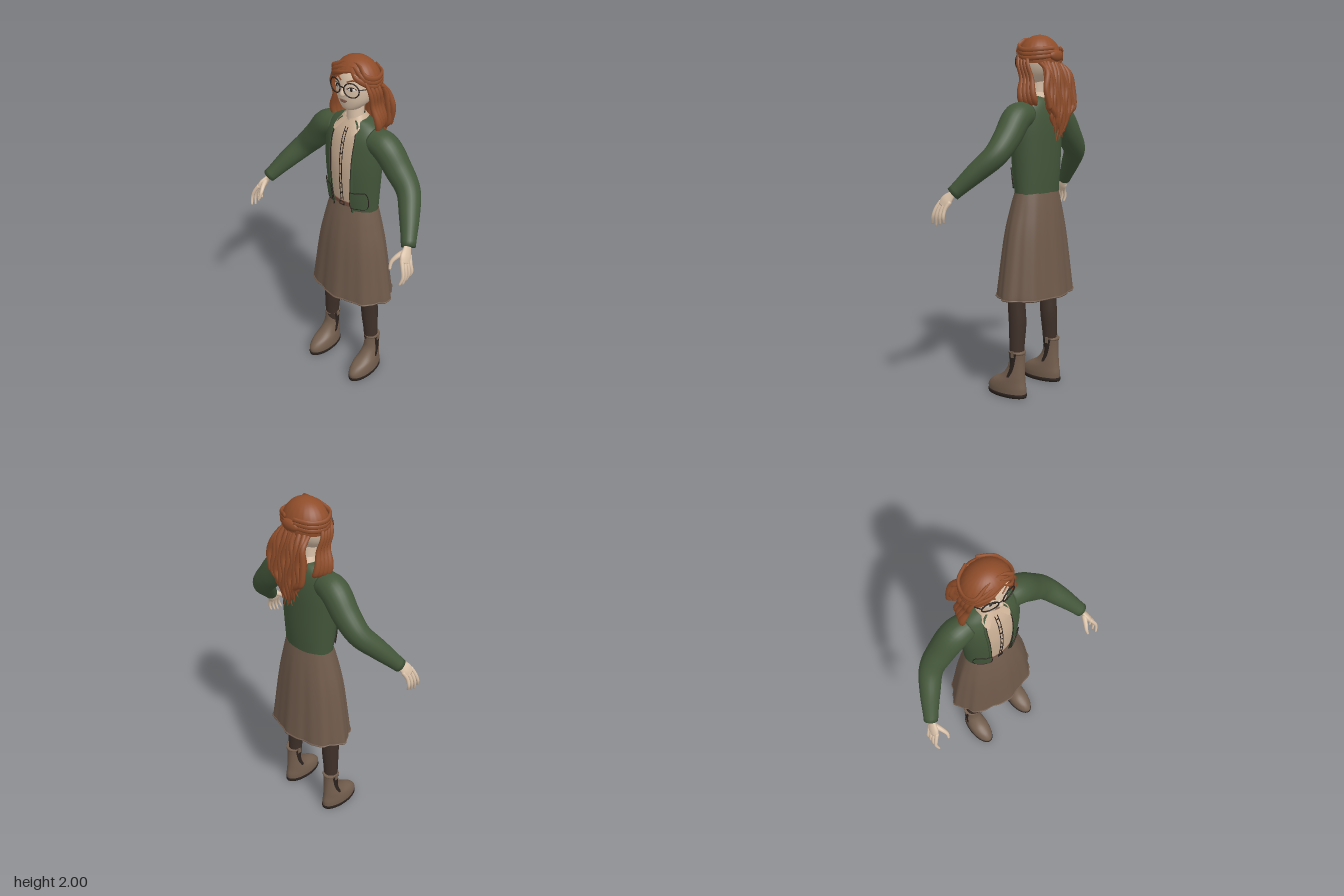
import * as THREE from 'three';

const V = (x, y, z) => new THREE.Vector3(x, y, z);
const paint = (name, color, side = THREE.FrontSide) => {
  const m = new THREE.MeshStandardMaterial({ color, side });
  m.name = name;
  return m;
};

// Smooth surface from fn(u, v); wrap joins the u ends
function grid(nu, nv, fn, wrap = true) {
  const cols = wrap ? nu : nu + 1, pos = [], idx = [];
  for (let j = 0; j <= nv; j++)
    for (let i = 0; i < cols; i++) pos.push(...fn(i / nu, j / nv).toArray());
  for (let j = 0; j < nv; j++)
    for (let i = 0; i < nu; i++) {
      const a = j * cols + i, b = j * cols + (i + 1) % cols;
      idx.push(a, b, b + cols, a, b + cols, a + cols);
    }
  const g = new THREE.BufferGeometry();
  g.setAttribute('position', new THREE.Float32BufferAttribute(pos, 3));
  g.setIndex(idx);
  g.computeVertexNormals();
  return g;
}

// Smooth interpolation of rows of numbers
function spline(rows) {
  const cs = rows[0].map((_, c) => new THREE.SplineCurve(rows.map((r, i) => new THREE.Vector2(i, r[c]))));
  return t => cs.map(c => c.getPoint(t).y);
}

// Upright body from elliptical sections [y, cx, cz, rx, rz], bottom to top
function loft(rows, { n = 40, m = 24, cap = true, from = () => 0, to = () => Math.PI * 2, wrap = true, shape } = {}) {
  const s = spline(rows), steps = cap ? m + 2 : m;
  return grid(n, steps, (u, w) => {
    const j = Math.round(w * steps), end = cap && (j === 0 || j === steps);
    const v = cap ? THREE.MathUtils.clamp((j - 1) / m, 0, 1) : w;
    const [y, cx, cz, rx, rz] = s(v), a = from(v) + u * (to(v) - from(v)), k = end ? 0 : 1;
    const p = V(cx + k * rx * Math.sin(a), y, cz + k * rz * Math.cos(a));
    if (shape) shape(p, a, v, cz);
    return p;
  }, wrap);
}

// Front z of a lofted body at (x, y)
function frontOf(rows) {
  const s = spline(rows);
  return (x, y) => {
    let lo = 0, hi = 1;
    for (let i = 0; i < 24; i++) { const t = (lo + hi) / 2; if (s(t)[0] < y) lo = t; else hi = t; }
    const [, cx, cz, rx, rz] = s(lo);
    return cz + rz * Math.sqrt(Math.max(0, 1 - ((x - cx) / rx) ** 2));
  };
}

// Tapered tube with closed ends; k flattens it across ref
function tube(pts, radii, { n = 10, m = 20, ref = V(0, 0, 1), k = 1 } = {}) {
  const c = new THREE.CatmullRomCurve3(pts.map(p => V(...p))), r = spline(radii.map(x => [x]));
  return grid(n, m + 2, (u, w) => {
    const j = Math.round(w * (m + 2)), v = THREE.MathUtils.clamp((j - 1) / m, 0, 1);
    const T = c.getTangent(v), N = ref.clone().addScaledVector(T, -ref.dot(T)).normalize();
    const B = T.clone().cross(N), R = j === 0 || j === m + 2 ? 0 : Math.max(r(v)[0], 0.0005), a = u * Math.PI * 2;
    return c.getPoint(v).addScaledVector(N, R * Math.cos(a)).addScaledVector(B, R * k * Math.sin(a));
  });
}

export function createModel() {
  const root = new THREE.Group();
  const skin = paint('skin', 0xd9c1a9), shirt = paint('shirt cream', 0xc9ae94, THREE.DoubleSide),
    green = paint('jacket green', 0x43563a, THREE.DoubleSide), brown = paint('skirt brown', 0x6f5a4b, THREE.DoubleSide),
    legging = paint('legging brown', 0x3f3029), leather = paint('boot leather', 0x735e4e),
    dark = paint('dark trim', 0x2a211d), red = paint('hair auburn', 0x8f4d2a, THREE.DoubleSide),
    belt = paint('belt and lip brown', 0x7a5444), white = paint('eye white', 0xe6e0d8);
  const add = (name, geo, mat) => {
    const o = new THREE.Mesh(geo, mat);
    o.name = name;
    root.add(o);
    return o;
  };
  const ball = (name, mat, p, s) => {
    const o = add(name, new THREE.SphereGeometry(1, 20, 14), mat);
    o.position.set(...p);
    o.scale.set(...s);
    return o;
  };
  const grow = (rows, d) => rows.map(([y, cx, cz, rx, rz]) => [y, cx, cz, rx + d, rz + d]);
  const TAU = Math.PI * 2;

  // Shirt and jacket
  const torso = [[1.14, 0, -.06, .147, .088], [1.25, 0, -.056, .155, .1], [1.4, 0, -.055, .166, .106], [1.5, 0, -.06, .17, .102],
    [1.58, 0, -.066, .166, .09], [1.63, 0, -.073, .14, .072], [1.66, 0, -.075, .095, .055], [1.675, 0, -.07, .055, .045]];
  add('shirt', loft(torso), shirt);
  const coat = grow(torso, .01), open = v => .45 + .1 * v * v;
  add('jacket', loft(coat, {
    n: 96, m: 30, cap: false, wrap: false, from: open, to: v => TAU - open(v),
    shape: (p, a, v) => { if (v === 0) p.y -= .016 * Math.abs(Math.sin(a * 9)); },
  }), green);
  const chest = frontOf(torso), coatFront = frontOf(coat), coatAt = spline(coat);
  const line = (name, pts, r, mat) => add(name, tube(pts, [r, r], { n: 6, m: 24, ref: V(.5, .3, 1) }), mat);
  for (const x of [-.008, .008])
    line('buttonPlacketSeam', [1.2, 1.3, 1.4, 1.5, 1.58, 1.63].map(y => [x, y, chest(x, y) + .001]), .0022, dark);
  for (let i = 0; i < 7; i++) {
    const y = 1.25 + i * .06;
    ball('shirtButton', dark, [0, y, chest(0, y) + .002], [.005, .005, .003]);
  }

  // Belt and buckle
  add('belt', loft([[1.165, 0, -.06, .154, .096], [1.18, 0, -.06, .155, .097], [1.197, 0, -.059, .155, .099]], { m: 4 }), belt);
  const buckle = add('buckle', new THREE.TorusGeometry(.014, .003, 6, 4, TAU), dark);
  buckle.geometry.rotateZ(Math.PI / 4).scale(1.5, 1, 1);
  buckle.position.set(0, 1.181, .041);

  // Skirt with soft folds
  add('skirt', loft([[.57, 0, -.05, .268, .172], [.62, 0, -.05, .264, .168], [.9, 0, -.051, .22, .143], [1.06, 0, -.055, .181, .12], [1.175, 0, -.06, .15, .094]], {
    n: 120, m: 30, cap: false,
    shape: (p, a, v, cz) => {
      const k = 1 + .035 * (1 - v) * Math.cos(a * 8) + .012 * (1 - v) * Math.sin(a * 19);
      p.x *= k;
      p.z = cz + (p.z - cz) * k;
    },
  }), brown);
  add('skirtHem', grid(120, 8, (u, v) => {
    const a = u * TAU, k = 1 + .035 * Math.cos(a * 8) + .012 * Math.sin(a * 19), b = v * TAU, r = .005 * Math.cos(b);
    return V((.268 + r) * k * Math.sin(a), .573 + .005 * Math.sin(b), -.05 + (.172 + r) * k * Math.cos(a));
  }), brown);

  // Neck and head
  add('neck', loft([[1.62, 0, -.07, .055, .05], [1.68, 0, -.065, .047, .045], [1.78, 0, -.07, .047, .047]], { m: 8 }), skin);
  const skull = [[1.725, 0, -.03, .018, .02], [1.738, 0, -.04, .05, .053], [1.775, 0, -.058, .086, .082], [1.82, 0, -.072, .106, .1],
    [1.87, 0, -.08, .114, .105], [1.92, 0, -.082, .108, .093], [1.965, 0, -.082, .07, .06], [1.98, 0, -.082, .02, .02]];
  add('head', loft(skull, { m: 32 }), skin);
  const face = frontOf(skull);
  add('nose', tube([[0, 1.872, .017], [0, 1.85, .027], [0, 1.824, .034], [0, 1.814, .02]], [.007, .009, .014, .008]), skin);
  ball('upperLip', belt, [0, 1.79, face(0, 1.79) + .001], [.026, .004, .005]);
  ball('lowerLip', belt, [0, 1.783, face(0, 1.783) + .001], [.019, .005, .005]);

  // Hair cap with a side parting
  add('hairCap', grid(64, 20, (u, v) => {
    const a = u * TAU, d = Math.abs(((a - .3 + Math.PI * 3) % TAU) - Math.PI);
    const end = THREE.MathUtils.lerp(.98, 1.75, THREE.MathUtils.smoothstep(d, 0, 1.5)), t = end * (1 - v);
    const k = 1 + .01 * Math.sin(a * 22) * Math.sin(t);
    return V(.132 * k * Math.sin(t) * Math.sin(a), 1.867 + .133 * Math.cos(t), -.078 + .112 * k * Math.sin(t) * Math.cos(a));
  }), red);

  for (const s of [-1, 1]) {
    // Jacket edge, pocket and sleeve
    const edge = [0, .2, .4, .6, .8, .93].map(v => {
      const [y, , cz, rx, rz] = coatAt(v), a = open(v);
      return [s * rx * Math.sin(a), y, cz + rz * Math.cos(a)];
    });
    line('jacketEdge', edge, .007, green);
    line('jacketEdgeSeam', edge.map(([x, y, z]) => [x - s * .006, y, z + .004]), .0025, dark);
    const pocketAt = (x, y) => V(s * x, y, coatFront(s * x, y) + .01);
    add('pocket', grid(10, 6, (u, v) => pocketAt(.068 + .077 * u, 1.175 + .105 * v), false), green);
    line('pocketSeam', [[.068, 1.28], [.068, 1.18], [.105, 1.175], [.145, 1.18], [.145, 1.28], [.105, 1.28], [.068, 1.28]]
      .map(p => pocketAt(...p).toArray()), .0025, dark);
    add('sleeve', tube([[s * .12, 1.575, -.07], [s * .2, 1.555, -.073], [s * .29, 1.455, -.076], [s * .37, 1.368, -.062], [s * .44, 1.28, .01], [s * .515, 1.17, .105]],
      [.07, .078, .073, .064, .054, .038], { n: 24, m: 36 }), green);

    // Collar flap
    add('collar', grid(24, 6, (u, v) => {
      const a = .12 + u * (Math.PI - .12), w = Math.max(0, Math.cos(a)) ** 2;
      const inner = V(s * .054 * Math.sin(a), 1.695 - .02 * w, -.066 + .054 * Math.cos(a));
      const outer = V(s * (.075 * Math.sin(a) + .052 * w), 1.665 - .058 * w, -.07 + .072 * Math.cos(a) + .03 * w);
      return inner.lerp(outer, v);
    }, false), shirt);

    // Hand
    add('palm', tube([[s * .5, 1.19, .085], [s * .515, 1.163, .113], [s * .527, 1.135, .138], [s * .538, 1.105, .155]],
      [.024, .026, .038, .036], { n: 16, k: .45 }), skin);
    for (let i = 0; i < 4; i++) {
      const d = Math.abs(i - 1) * .01, z = .186 - .021 * i;
      add('finger', tube([[s * .53, 1.13, z - .012], [s * .552, 1.09, z + .005], [s * .563, 1.05, z + .016 - i * .003], [s * .555, 1 + d, z + .03 - i * .006]],
        [.011, .0105, .009, .006], { n: 8, m: 12 }), skin);
    }
    add('thumb', tube([[s * .515, 1.155, .135], [s * .495, 1.135, .175], [s * .484, 1.11, .2], [s * .487, 1.075, .215]], [.016, .013, .01, .007], { n: 8, ref: V(1, 0, 0) }), skin);

    // Leg and boot
    add('leg', loft([[.18, s * .162, -.04, .038, .038], [.3, s * .158, -.038, .043, .043], [.42, s * .15, -.036, .05, .049],
      [.58, s * .148, -.03, .052, .05], [.8, s * .12, -.045, .068, .065]], { n: 24 }), legging);
    const boot = [[.018, s * .167, .025, .058, .126], [.05, s * .167, .025, .06, .127], [.085, s * .167, .012, .058, .108], [.12, s * .167, -.018, .052, .074],
      [.17, s * .166, -.038, .045, .051], [.22, s * .165, -.043, .043, .046], [.262, s * .165, -.045, .046, .047]];
    add('boot', loft(boot, { n: 32, m: 28 }), leather);
    add('sole', loft([[0, s * .167, .025, .058, .127], [.011, s * .167, .025, .063, .131], [.022, s * .167, .025, .061, .129]], { n: 32, m: 4 }), dark);
    add('bootCuff', loft([[.25, s * .165, -.045, .045, .046], [.258, s * .165, -.045, .049, .05], [.266, s * .165, -.045, .046, .047]], { n: 32, m: 4 }), leather);
    for (const q of [-1, 1]) {
      add('elasticPanel', loft(grow(boot.slice(3), .003), {
        n: 8, m: 10, cap: false, wrap: false,
        from: v => q * Math.PI / 2 - .1 - .42 * v, to: v => q * Math.PI / 2 + .1 + .42 * v,
      }), dark);
      const tab = add('pullTab', new THREE.BoxGeometry(.006, .035, .02), leather);
      tab.position.set(s * .165 + q * .048, .255, -.045);
    }

    // Eye, brow, ear and glasses
    const ex = s * .048, ey = 1.857, ez = face(ex, ey);
    const turn = s * .28;
    ball('eyeWhite', white, [ex, ey, ez], [.022, .011, .005]).rotation.y = turn;
    ball('iris', dark, [ex, ey, ez + .003], [.0085, .0095, .004]).rotation.y = turn;
    const onFace = (x, y, d) => [s * x, y, face(s * x, y) + d];
    line('upperLid', [onFace(.024, 1.857, .003), onFace(.047, 1.869, .004), onFace(.072, 1.858, .003)], .0025, dark);
    line('brow', [onFace(.02, 1.892, .002), onFace(.05, 1.903, .002), onFace(.08, 1.893, .002)], .004, red);
    ball('ear', skin, [s * .115, 1.845, -.075], [.012, .032, .02]);
    const rim = add('glassesRim', new THREE.TorusGeometry(.043, .0035, 8, 36), dark);
    rim.position.set(s * .054, 1.857, .026);
    rim.rotation.y = s * .25;
    rim.scale.y = .88;
    add('glassesTemple', tube([[s * .095, 1.866, .014], [s * .116, 1.868, -.02], [s * .12, 1.864, -.085]], [.003, .003, .003], { ref: V(0, 1, 0), n: 6 }), dark);

    // Swept fringe, twisted back above the ears
    for (let i = 0; i < 3; i++) {
      const y = i * .02;
      add('fringeLock', tube([[.038, 1.948 + y * .8, .012 - y], [s < 0 ? -.04 : .07, 1.927 + y, .018 - y], [s * .107, 1.893 + y, -.016], [s * .13, 1.872 + y, -.07], [s * .105, 1.875 + y, -.147], [s * .03, 1.885 + y, -.19]],
        [.005, .012, .015, .014, .014, .012], { ref: V(0, 1, 0), k: .6, m: 28 }), red);
    }
    // Loose locks beside the face
    for (let i = 0; i < 4; i++) {
      const d = i * .022;
      add('sideLock', tube([[s * .108, 1.905, -.015 - d], [s * (.132 + d * .1), 1.84, -.03 - d], [s * .129, 1.765, -.05 - d], [s * (.155 - d * .25), 1.69, -.062 - d], [s * (.153 - d * .4), 1.64, -.07 - d], [s * (.12 - d * .3), 1.6 + d * .3, -.075 - d * .8]],
        [.008, .012, .014, .02, .018, .003], { k: .85 }), red);
    }
  }
  line('glassesBridge', [[-.014, 1.862, .036], [0, 1.867, .039], [.014, 1.862, .036]], .003, dark);

  // Half-up back hair: wavy strands in two layers
  ball('hairKnot', red, [0, 1.885, -.185], [.055, .03, .02]);
  for (let i = 0; i < 19; i++) {
    const q = (i - 9) / 9, layer = i % 2, w = .012 * Math.sin(i * 2.4);
    const end = 1.42 + .15 * q * q + .035 * Math.abs(Math.sin(i * 1.7)), z = layer * .012;
    add('backHairStrand', tube([[q * .085, 1.885 - .03 * q * q, -.165 + .035 * q * q], [q * .105 + w, 1.8, -.198 + z], [q * .12 - w, 1.71, -.213 + z],
      [q * .118 + w, 1.62, -.222 + z], [q * .1 - w, (1.62 + end) / 2, -.222 + z], [q * .085 + w, end, -.208]],
      [.012, .017, .019, .018, .014, .002], { ref: V(1, 0, 0), k: .8, n: 8, m: 24 }), red);
  }
  return root;
}
